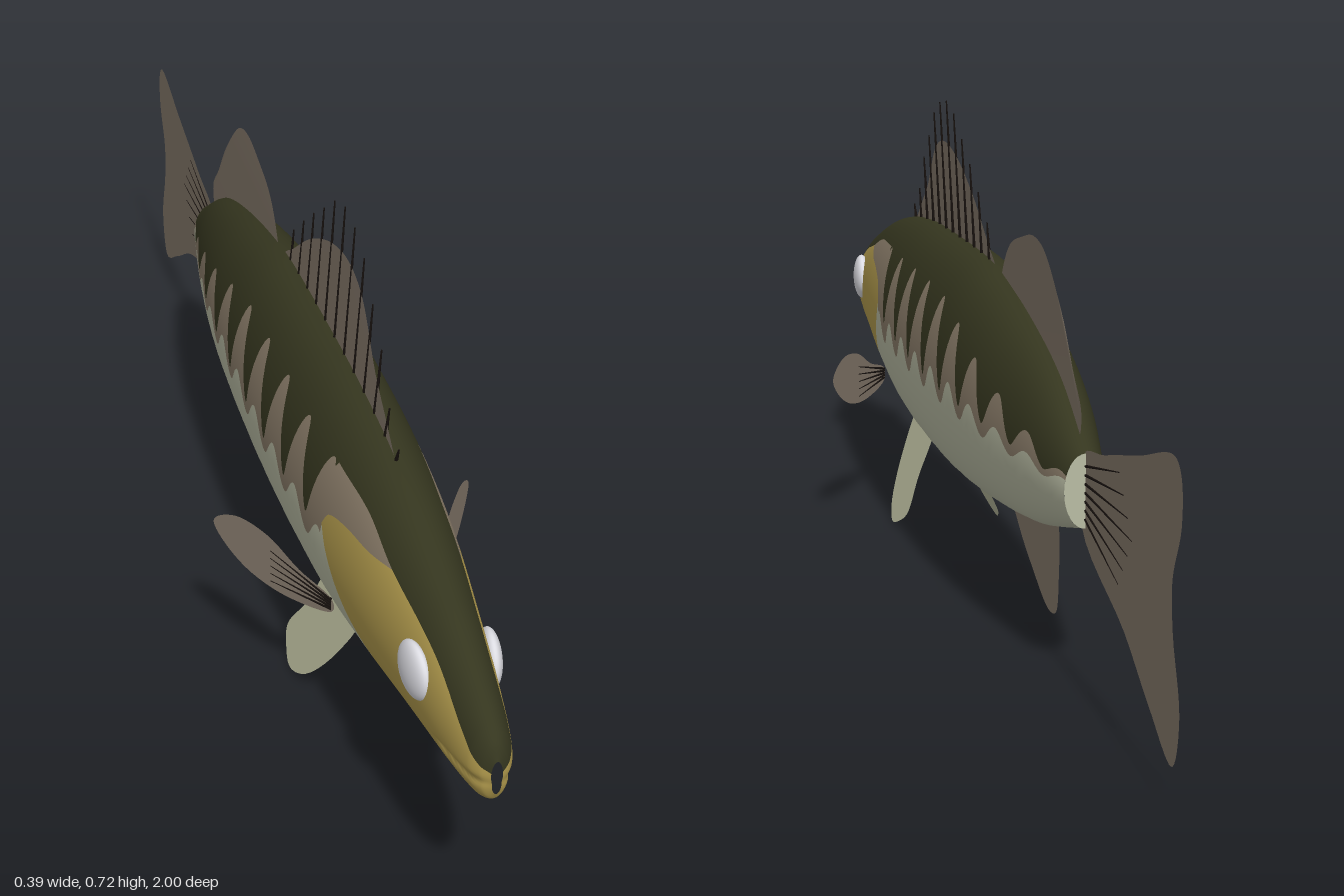
import * as THREE from 'three';

const paint = (name, color, side = THREE.FrontSide) => {
  const m = new THREE.MeshStandardMaterial({ color, side });
  m.name = name;
  return m;
};

// Smooth (Hermite) lookup in a table of [z, value] rows sorted by falling z
function lookup(t, z) {
  const n = t.length - 1;
  if (z >= t[0][0]) return t[0][1];
  if (z <= t[n][0]) return t[n][1];
  let i = 0;
  while (z < t[i + 1][0]) i++;
  const slope = (k) => {
    const a = t[Math.max(k - 1, 0)], b = t[Math.min(k + 1, n)];
    return (b[1] - a[1]) / (b[0] - a[0]);
  };
  const d = t[i + 1][0] - t[i][0], u = (z - t[i][0]) / d, u2 = u * u, u3 = u2 * u;
  return (2 * u3 - 3 * u2 + 1) * t[i][1] + (u3 - 2 * u2 + u) * d * slope(i)
    + (3 * u2 - 2 * u3) * t[i + 1][1] + (u3 - u2) * d * slope(i + 1);
}

// Body profiles from snout to tail root
const TAIL_Z = -0.57;
const TOP = [[1, 0.325], [0.99, 0.345], [0.97, 0.362], [0.9, 0.393], [0.8, 0.43], [0.6, 0.485], [0.4, 0.51],
  [0.2, 0.516], [0, 0.515], [-0.1, 0.505], [-0.28, 0.47], [-0.44, 0.42], [-0.57, 0.345]];
const BOTTOM = [[1, 0.275], [0.99, 0.26], [0.97, 0.25], [0.9, 0.235], [0.73, 0.208], [0.57, 0.18], [0.41, 0.156],
  [0.2, 0.147], [0, 0.15], [-0.23, 0.172], [-0.39, 0.195], [-0.57, 0.24]];
const WIDTH = [[1, 0.008], [0.99, 0.02], [0.97, 0.03], [0.9, 0.042], [0.8, 0.054], [0.6, 0.076], [0.4, 0.088],
  [0.1, 0.092], [-0.2, 0.083], [-0.4, 0.06], [-0.57, 0.03]];

// Colour borders
const HEAD_EDGE = [[1, 0.308], [0.95, 0.34], [0.85, 0.385], [0.7, 0.42], [0.6, 0.447], [0.48, 0.455]];
const ARCH_TOP = [[0.48, 0.455], [0, 0.455], [-0.2, 0.41], [-0.4, 0.36], [-0.57, 0.315]];
const BAR_END = [[0.48, 0.345], [0.35, 0.328], [0, 0.318], [-0.3, 0.32], [-0.57, 0.305]];
const CHEEK_TOP = [[0.7, 0.42], [0.64, 0.41], [0.56, 0.402], [0.5, 0.385], [0.48, 0.36]];
const CHEEK_LOW = [[0.73, 0.2], [0.68, 0.212], [0.6, 0.24], [0.55, 0.27], [0.5, 0.325], [0.48, 0.36]];

function borders(z) {
  const top = lookup(TOP, z), bottom = lookup(BOTTOM, z);
  const arch = 0.5 + 0.5 * Math.cos((2 * Math.PI * (z - 0.465)) / 0.114);
  let dark, flank, cheek;
  if (z > 0.48) {
    dark = lookup(HEAD_EDGE, z);
    flank = z > 0.7 ? dark : lookup(CHEEK_TOP, z);
    cheek = z > 0.73 ? bottom : lookup(CHEEK_LOW, z);
  } else {
    const low = lookup(BAR_END, z);
    dark = low + (lookup(ARCH_TOP, z) - low) * Math.pow(arch, 0.8);
    flank = 0.3 + 0.045 * arch * THREE.MathUtils.clamp((z + 0.7) / 0.6, 0.2, 1);
    cheek = flank;
  }
  const list = [top, dark, flank, cheek, bottom];
  for (let i = 1; i < 5; i++) list[i] = Math.max(bottom, Math.min(list[i], list[i - 1]));
  return list;
}

// Point on the left flank: station z, angle a from belly to back, with a mouth crease
function skin(z, a) {
  const t = lookup(TOP, z), b = lookup(BOTTOM, z);
  const y = (t + b) / 2 + ((t - b) / 2) * Math.sin(a);
  const inMouth = THREE.MathUtils.smoothstep(z, 0.84, 0.9);
  const line = (y - 0.265 - (z - 0.85) * 0.18) / 0.007;
  const dent = 1 - 0.16 * inMouth * Math.exp(-line * line);
  return new THREE.Vector3(lookup(WIDTH, z) * Math.cos(a) * dent, y, z);
}

// One colour band of the body, on both sides
function bodyBand(band, rows) {
  const pos = [], nor = [], idx = [], cols = 320, e = 0.001;
  for (const s of [1, -1]) {
    const start = pos.length / 3, thick = [];
    for (let i = 0; i <= cols; i++) {
      const z = TAIL_Z + (1 - TAIL_Z) * (1 - Math.pow(1 - i / cols, 1.25));
      const list = borders(z), mid = (list[0] + list[4]) / 2, half = (list[0] - list[4]) / 2;
      const angle = (y) => Math.asin(THREE.MathUtils.clamp((y - mid) / half, -1, 1));
      const hi = angle(list[band]), lo = angle(list[band + 1]);
      thick.push(hi - lo);
      for (let j = 0; j <= rows; j++) {
        const a = lo + ((hi - lo) * j) / rows, p = skin(z, a);
        const da = skin(z, a + e).sub(skin(z, a - e));
        const dz = skin(Math.min(z + e, 1), a).sub(skin(z - e, a));
        const n = da.cross(dz).normalize();
        pos.push(s * p.x, p.y, p.z);
        nor.push(s * n.x, n.y, n.z);
      }
    }
    for (let i = 0; i < cols; i++) {
      if (thick[i] + thick[i + 1] < 1e-5) continue;
      for (let j = 0; j < rows; j++) {
        const a = start + i * (rows + 1) + j, b = a + 1, c = a + rows + 1, d = c + 1;
        if (s > 0) idx.push(a, b, c, b, d, c);
        else idx.push(a, c, b, b, c, d);
      }
    }
  }
  const g = new THREE.BufferGeometry();
  g.setAttribute('position', new THREE.Float32BufferAttribute(pos, 3));
  g.setAttribute('normal', new THREE.Float32BufferAttribute(nor, 3));
  g.setIndex(idx);
  return g;
}

// Flat fin from a rounded outline, placed in space by a rule
function finGeometry(points, place) {
  const curve = new THREE.CatmullRomCurve3(points.map(([a, b]) => new THREE.Vector3(a, b, 0)), true, 'centripetal');
  const g = new THREE.ShapeGeometry(new THREE.Shape(curve.getPoints(points.length * 6).slice(0, -1)));
  const p = g.attributes.position;
  for (let i = 0; i < p.count; i++) p.setXYZ(i, ...place(p.getX(i), p.getY(i)));
  g.computeVertexNormals();
  return g;
}

// Tapered rod between two points
function rodGeometry(a, b, r) {
  const from = new THREE.Vector3(...a), dir = new THREE.Vector3(...b).sub(from), len = dir.length();
  const g = new THREE.CylinderGeometry(r * 0.3, r, len, 5).translate(0, len / 2, 0);
  g.applyQuaternion(new THREE.Quaternion().setFromUnitVectors(new THREE.Vector3(0, 1, 0), dir.normalize()));
  return g.translate(...a);
}

export function createModel() {
  const model = new THREE.Group();
  const olive = paint('dark olive', 0x35361f), taupe = paint('taupe', 0x8b7d6a);
  const cream = paint('pale belly', 0xb9bca4), gold = paint('gold', 0xb39c4e);
  const white = paint('eye white', 0xdcdce2), black = paint('spine black', 0x17110e);
  const finTaupe = paint('fin taupe', 0x84786a, THREE.DoubleSide);
  const finPale = paint('pale fin', 0xb4b698, THREE.DoubleSide);
  const add = (name, geometry, material) => {
    const m = new THREE.Mesh(geometry, material);
    m.name = name;
    model.add(m);
    return m;
  };

  // Body
  add('back', bodyBand(0, 9), olive);
  add('flank', bodyBand(1, 6), taupe);
  add('cheeks', bodyBand(2, 22), gold);
  add('belly', bodyBand(3, 9), cream);
  const root = add('tailRoot', new THREE.CircleGeometry(1, 32).rotateY(Math.PI), cream);
  root.scale.set(0.03, 0.0525, 1);
  root.position.set(0, 0.2925, TAIL_Z);

  // Upright fins lean slightly to the left as they rise
  const upright = (z, y) => [Math.max(0, y - 0.5) * 0.045, y, z];
  add('spinyDorsalFin', finGeometry([[0.55, 0.485], [0.5, 0.525], [0.44, 0.565], [0.36, 0.64], [0.29, 0.66],
    [0.2, 0.647], [0.09, 0.6], [0, 0.54], [-0.05, 0.505], [0, 0.49], [0.3, 0.49]], upright), finTaupe);
  add('softDorsalFin', finGeometry([[-0.09, 0.5], [-0.1, 0.518], [-0.15, 0.56], [-0.23, 0.585], [-0.3, 0.597],
    [-0.36, 0.584], [-0.44, 0.515], [-0.5, 0.445], [-0.545, 0.395], [-0.535, 0.36], [-0.44, 0.4], [-0.28, 0.45]], upright), finTaupe);
  add('analFin', finGeometry([[-0.15, 0.18], [-0.2, 0.14], [-0.28, 0.1], [-0.375, 0.065], [-0.42, 0.075],
    [-0.432, 0.12], [-0.425, 0.215], [-0.3, 0.2]], upright), finTaupe);
  add('tailFin', finGeometry([[-0.55, 0.335], [-0.66, 0.365], [-0.82, 0.405], [-0.965, 0.44], [-0.99, 0.42],
    [-0.993, 0.36], [-0.96, 0.285], [-0.965, 0.22], [-0.996, 0.125], [-0.97, 0.052], [-0.87, 0.095],
    [-0.76, 0.155], [-0.55, 0.24]], upright), finTaupe);

  // Dorsal spines
  const tips = [0.515, 0.55, 0.612, 0.655, 0.7, 0.722, 0.73, 0.715, 0.68, 0.647, 0.61, 0.57];
  tips.forEach((tip, i) => {
    const z = 0.555 - i * 0.0515;
    add('dorsalSpine', rodGeometry(upright(z - 0.008, 0.48), upright(z + 0.008, tip), 0.004), black);
  });
  // Tail rays
  for (let i = 0; i < 7; i++) {
    const k = i / 3 - 1;
    add('tailRay', rodGeometry([0, 0.29 + k * 0.035, -0.56], [0, 0.285 + k * 0.075, -0.79 + Math.abs(k) * 0.06], 0.0022), black);
  }

  // Paired parts
  for (const s of [1, -1]) {
    const side = s > 0 ? 'left' : 'right';
    const chest = (x, y) => [s * x, y, 0.48 - (x - 0.08) * 1.6];
    add(side + 'PectoralFin', finGeometry([[0.072, 0.238], [0.105, 0.258], [0.138, 0.288], [0.168, 0.294], [0.19, 0.278],
      [0.196, 0.262], [0.18, 0.23], [0.155, 0.208], [0.12, 0.2], [0.072, 0.215]], chest), finTaupe);
    for (let i = 0; i < 5; i++) {
      add(side + 'PectoralRay', rodGeometry(chest(0.072, 0.22 + i * 0.004), chest(0.135, 0.212 + i * 0.013), 0.0024), black);
    }
    const pelvis = (z, y) => [s * (0.025 + (0.155 - y) * 0.44), y, z];
    add(side + 'PelvicFin', finGeometry([[0.46, 0.17], [0.44, 0.1], [0.385, 0.03], [0.33, 0.006], [0.295, 0.015],
      [0.265, 0.037], [0.29, 0.09], [0.315, 0.17]], pelvis), finPale);
    const eye = add(side + 'Eye', new THREE.SphereGeometry(1, 28, 20), white);
    eye.scale.set(0.015, 0.04, 0.042);
    eye.position.set(s * 0.051, 0.342, 0.815);
    eye.rotation.y = -s * 0.12;
  }
  return model;
}
